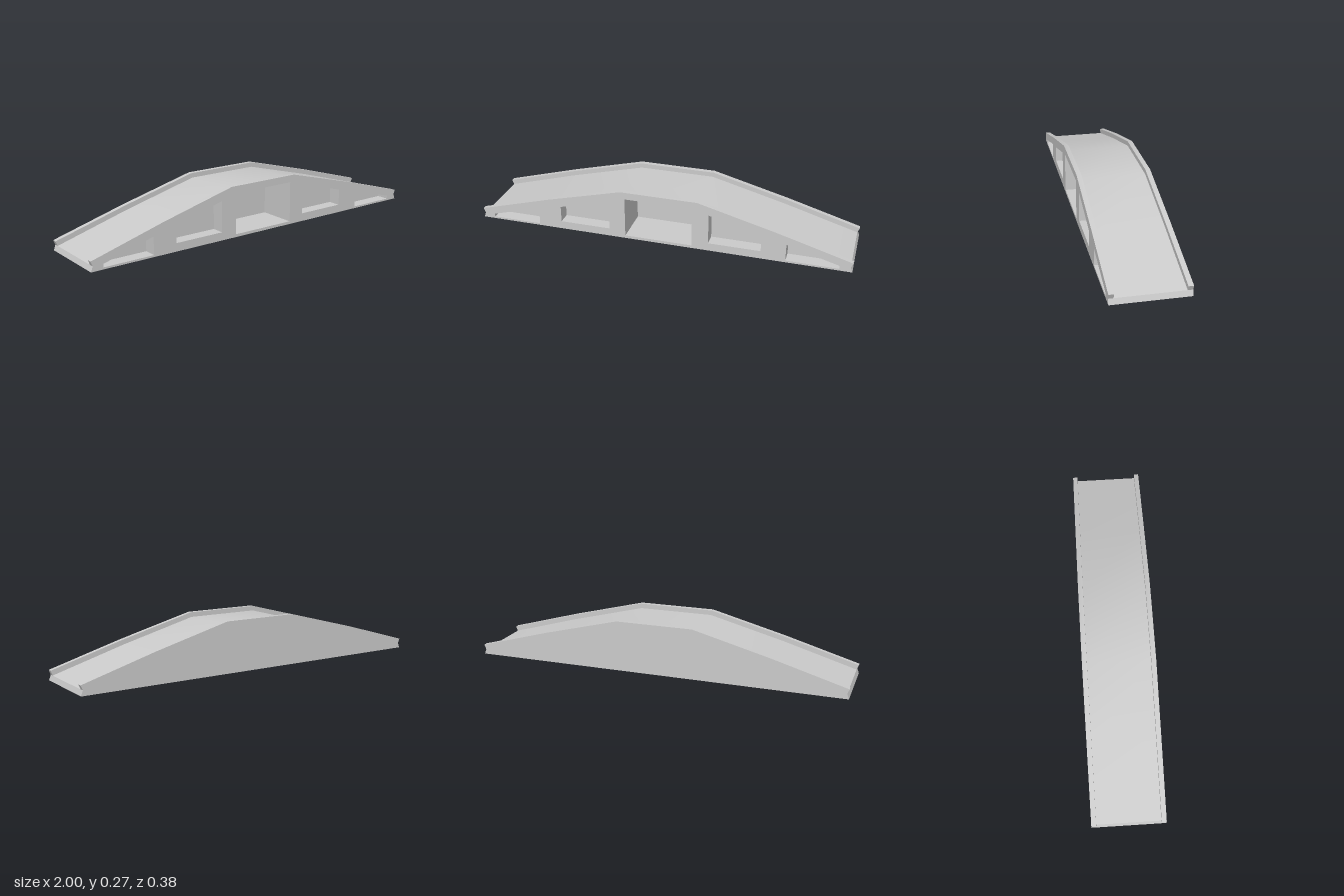
import * as THREE from 'three';
import { toCreasedNormals } from 'three/addons/utils/BufferGeometryUtils.js';

const HALF = 0.19;   // half width of the bridge
const INNER = 0.165; // inner face of the parapets

const mirror = (pts) => pts.map(([x, y]) => [-x, y]).reverse();
const vectors = (pts) => pts.map(([x, y]) => new THREE.Vector2(x, y));

export function createModel() {
  const model = new THREE.Group();
  const material = new THREE.MeshStandardMaterial({ color: 0xcccccc });

  const add = (name, geometry) => {
    const mesh = new THREE.Mesh(geometry, material);
    mesh.name = name;
    model.add(mesh);
    return mesh;
  };

  // Strip swept along z; a counterclockwise line faces outward
  const wall = (name, pts, z0, z1) => {
    const pos = [];
    for (let i = 0; i < pts.length - 1; i++) {
      const [ax, ay] = pts[i];
      const [bx, by] = pts[i + 1];
      pos.push(ax, ay, z1, ax, ay, z0, bx, by, z0);
      pos.push(ax, ay, z1, bx, by, z0, bx, by, z1);
    }
    const g = new THREE.BufferGeometry();
    g.setAttribute('position', new THREE.Float32BufferAttribute(pos, 3));
    return add(name, toCreasedNormals(g, 0.5));
  };

  // Flat panel facing the front, or the back when flipped
  const panel = (name, pts, z, back = false, holes = []) => {
    const shape = new THREE.Shape(vectors(back ? mirror(pts) : pts));
    holes.forEach((h) => shape.holes.push(new THREE.Path(vectors(h))));
    const mesh = add(name, new THREE.ShapeGeometry(shape));
    if (back) mesh.rotation.y = Math.PI;
    mesh.position.z = z;
  };

  // Profiles, running from +x to -x
  const topHalf = [[1, 0.052], [0.61, 0.163], [0.205, 0.268]];
  const deckHalf = [[0.99, 0.027], [0.605, 0.138], [0.2, 0.243]];
  const parapetTop = [...topHalf, ...mirror(topHalf)];
  const deckTop = [...deckHalf, ...mirror(deckHalf)];
  const outline = [[1, 0], [0.99, 0.027], ...parapetTop, [-0.99, 0.027], [-1, 0]];

  // Recesses in the front: corners counterclockwise, and depth
  const inner = [[0.267, 0.043], [0.54, 0.043], [0.54, 0.13], [0.267, 0.205]];
  const outer = [[0.667, 0.01], [0.935, 0.01], [0.935, 0.027], [0.667, 0.102]];
  const recesses = [
    { pts: [[-0.18, 0.015], [0.18, 0.015], [0.18, 0.23], [-0.18, 0.23]], depth: 0.21 },
    ...[inner, outer].flatMap((pts) => [
      { pts, depth: 0.07 },
      { pts: mirror(pts), depth: 0.07 },
    ]),
  ];
  for (const { pts, depth } of recesses) {
    const z = HALF - depth;
    wall('recessWalls', [...pts, pts[0]].reverse(), z, HALF);
    panel('recessBack', pts, z);
  }

  // Side faces
  panel('frontFace', outline, HALF, false, recesses.map((r) => r.pts.slice().reverse()));
  panel('backFace', outline, -HALF, true);

  // Deck, underside and abutment ends
  wall('deck', deckTop, -INNER, INNER);
  wall('underside', [[-1, 0], [1, 0]], -HALF, HALF);
  wall('rightEnd', [[1, 0], [0.99, 0.027]], -HALF, HALF);
  wall('leftEnd', [[-0.99, 0.027], [-1, 0]], -HALF, HALF);

  // Parapets: tops with undercut ends, and the faces towards the deck
  const cap = [[0.99, 0.027], ...parapetTop, [-0.99, 0.027]];
  const innerFace = [...parapetTop, ...deckTop.slice().reverse()];
  wall('frontParapet', cap, INNER, HALF);
  wall('backParapet', cap, -HALF, -INNER);
  panel('frontParapetInnerFace', innerFace, INNER, true);
  panel('backParapetInnerFace', innerFace, -INNER);

  return model;
}
